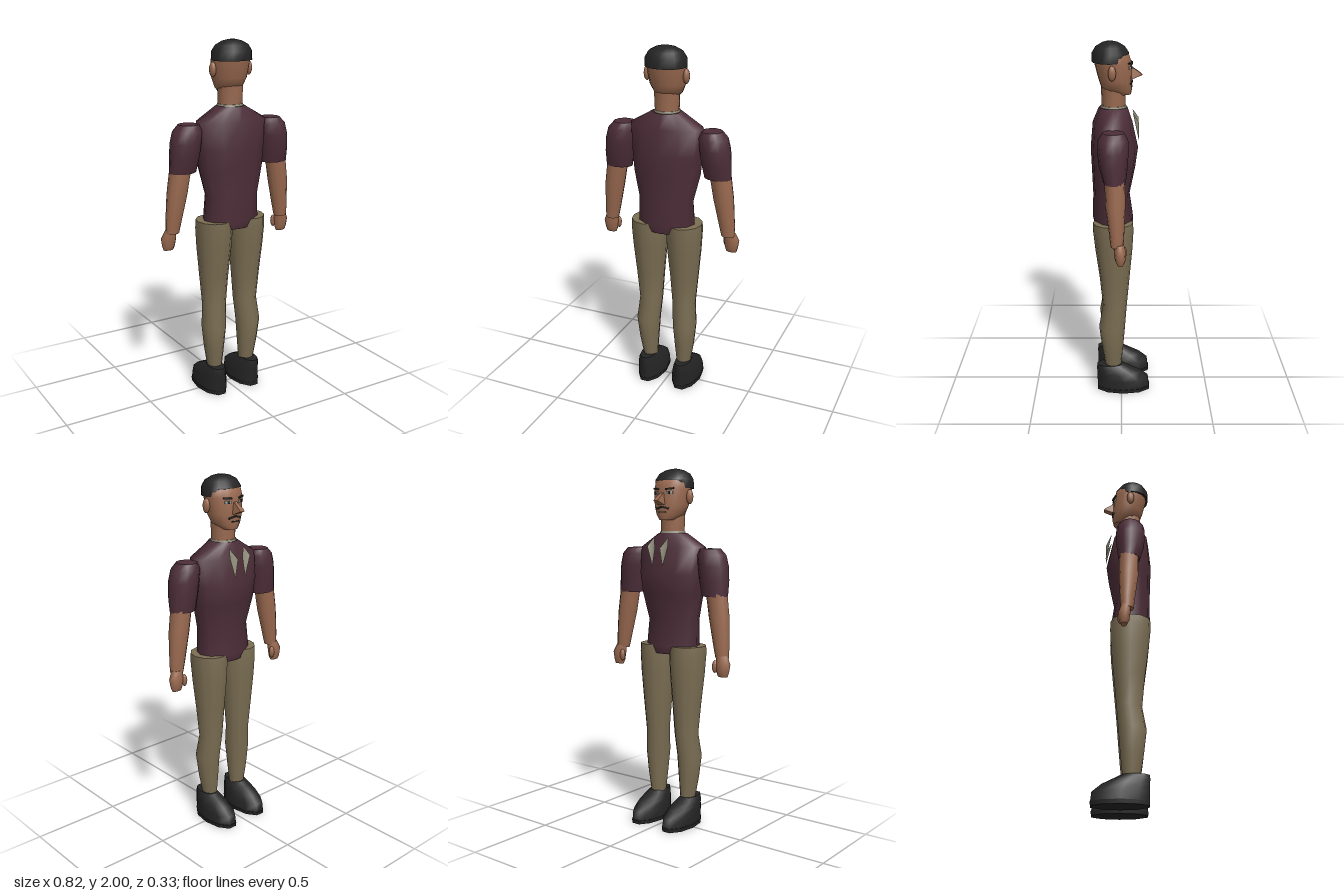
import * as THREE from 'three';
import { ConvexGeometry } from 'three/addons/geometries/ConvexGeometry.js';

const mat = (name, color, side = THREE.FrontSide) => {
  const m = new THREE.MeshStandardMaterial({ color, side });
  m.name = name;
  return m;
};

// Stacked oval rings, each [y, xMin, xMax, zMin, zMax], closed at both ends
function loft(rings, n = 12, turn = 0, adjust = null) {
  const pos = [], idx = [];
  const ring = ([y, x0, x1, z0, z1]) => {
    for (let j = 0; j < n; j++) {
      const a = ((j + turn) / n) * Math.PI * 2;
      const p = [(x0 + x1) / 2 + (x1 - x0) / 2 * Math.sin(a), y, (z0 + z1) / 2 + (z1 - z0) / 2 * Math.cos(a)];
      if (adjust) adjust(p);
      pos.push(...p);
    }
  };
  rings.forEach(ring);
  for (let i = 0; i < rings.length - 1; i++) {
    for (let j = 0; j < n; j++) {
      const a = i * n + j, b = i * n + (j + 1) % n;
      idx.push(a, b, b + n, a, b + n, a + n);
    }
  }
  // End caps use their own vertices so the rims stay crisp
  for (const [r, up] of [[rings[0], false], [rings[rings.length - 1], true]]) {
    const base = pos.length / 3;
    ring(r);
    for (let j = 1; j < n - 1; j++) {
      if (up) idx.push(base, base + j, base + j + 1);
      else idx.push(base, base + j + 1, base + j);
    }
  }
  const g = new THREE.BufferGeometry();
  g.setAttribute('position', new THREE.Float32BufferAttribute(pos, 3));
  g.setIndex(idx);
  g.computeVertexNormals();
  return g;
}

// Mirror ring x ranges to the other side of the body
const side = (rings, s) => rings.map(([y, a, b, c, d]) => (s > 0 ? [y, a, b, c, d] : [y, -b, -a, c, d]));

export function createModel() {
  const model = new THREE.Group();
  model.name = 'standingMan';
  const skin = mat('skin', 0x99694f);
  const shirt = mat('shirt', 0x4c2d38);
  const trousers = mat('trousers', 0x7b6e53);
  const black = mat('black', 0x242424);
  const collarCloth = mat('collarCloth', 0x8f8d79);
  const eyeWhite = mat('eyeWhite', 0xb0aca4);

  const add = (name, geo, material, parent = model) => {
    const m = new THREE.Mesh(geo, material);
    m.name = name;
    parent.add(m);
    return m;
  };

  // Torso and collar
  add('torso', loft([
    [0.985, -0.15, 0.15, -0.055, 0.15],
    [1.03, -0.165, 0.165, -0.065, 0.16],
    [1.17, -0.16, 0.16, -0.045, 0.157],
    [1.32, -0.195, 0.195, -0.075, 0.163],
    [1.43, -0.205, 0.205, -0.09, 0.168],
    [1.575, -0.213, 0.213, -0.058, 0.155],
    [1.652, -0.08, 0.08, -0.032, 0.122],
  ]), shirt);
  add('collar', loft([[1.64, -0.075, 0.075, -0.032, 0.118], [1.662, -0.069, 0.069, -0.026, 0.111]]), collarCloth);

  // Neck, head and hair
  add('neck', loft([[1.64, -0.066, 0.066, -0.02, 0.105], [1.76, -0.07, 0.07, -0.022, 0.11]]), skin);
  add('head', loft([
    [1.722, -0.042, 0.042, -0.05, 0.03],
    [1.75, -0.075, 0.075, -0.056, 0.105],
    [1.8, -0.098, 0.098, -0.056, 0.122],
    [1.89, -0.108, 0.108, -0.053, 0.145],
    [1.935, -0.105, 0.105, -0.038, 0.145],
    [1.97, -0.08, 0.08, 0, 0.12],
  ], 16), skin);
  add('hair', loft([
    [1.893, -0.113, 0.113, -0.036, 0.157],
    [1.94, -0.111, 0.111, -0.04, 0.157],
    [1.972, -0.092, 0.092, -0.018, 0.138],
    [1.992, -0.055, 0.055, 0.015, 0.105],
    [2.0, -0.02, 0.02, 0.045, 0.078],
  ], 16, 0, p => { if (p[1] < 1.9 && p[2] < 0.01) p[1] = 1.932; }), black);

  // Nose
  const nosePoints = [[0.01, 1.872, -0.045], [0.01, 1.862, -0.062], [0.02, 1.802, -0.045],
    [0.02, 1.806, -0.065], [0.014, 1.824, -0.11], [0.015, 1.835, -0.1]]
    .flatMap(([x, y, z]) => [new THREE.Vector3(x, y, z), new THREE.Vector3(-x, y, z)]);
  add('nose', new ConvexGeometry(nosePoints), skin);

  // Thin plates that follow the curve of the face
  const facePlate = (name, x, y, w, h, out, material, tilt = 0) => {
    const rx = 0.105, rz = 0.095, k = Math.sqrt(1 - (x / rx) ** 2);
    const m = add(name, new THREE.BoxGeometry(w, h, 0.008), material);
    m.position.set(x, y, 0.041 - rz * k - out);
    m.rotation.set(0, -Math.atan((rz * x) / (rx * rx * k)), tilt);
  };
  facePlate('mouth', 0, 1.765, 0.05, 0.006, 0, black);

  for (const s of [1, -1]) {
    // Eyes, brows and moustache
    facePlate('eye', s * 0.045, 1.868, 0.036, 0.014, 0.001, eyeWhite);
    facePlate('pupil', s * 0.043, 1.868, 0.013, 0.014, 0.003, black);
    facePlate('eyebrow', s * 0.046, 1.889, 0.048, 0.009, 0.002, black, s * 0.1);
    facePlate('moustache', s * 0.021, 1.788, 0.042, 0.01, 0.001, black, -s * 0.25);

    // Ear
    const ear = add('ear', new THREE.SphereGeometry(1, 10, 8), skin);
    ear.scale.set(0.018, 0.04, 0.022);
    ear.position.set(s * 0.111, 1.847, 0.05);

    // Pointed collar flap standing off the chest
    const tip = [s * 0.05, 1.63, -0.06], outer = [s * 0.072, 1.58, -0.093];
    const low = [s * 0.035, 1.47, -0.095], inner = [s * 0.016, 1.57, -0.094];
    const flap = new THREE.BufferGeometry();
    flap.setAttribute('position', new THREE.Float32BufferAttribute([...tip, ...outer, ...low, ...inner], 3));
    flap.setIndex(s > 0 ? [0, 1, 2, 0, 2, 3] : [0, 2, 1, 0, 3, 2]);
    flap.computeVertexNormals();
    add('collarFlap', flap, collarCloth);

    // Arm
    const arm = new THREE.Group();
    arm.name = s > 0 ? 'leftArm' : 'rightArm';
    model.add(arm);
    add('sleeve', loft(side([
      [1.315, 0.215, 0.368, -0.022, 0.095],
      [1.4, 0.2, 0.366, -0.032, 0.118],
      [1.475, 0.19, 0.36, -0.036, 0.125],
      [1.535, 0.185, 0.344, -0.034, 0.122],
      [1.57, 0.2, 0.312, -0.015, 0.1],
    ], s)), shirt, arm);
    add('forearm', loft(side([
      [0.985, 0.315, 0.39, -0.01, 0.058],
      [1.05, 0.3, 0.39, -0.014, 0.065],
      [1.2, 0.268, 0.382, -0.02, 0.085],
      [1.33, 0.245, 0.365, -0.018, 0.088],
    ], s)), skin, arm);
    add('hand', loft(side([
      [0.887, 0.34, 0.398, -0.01, 0.022],
      [0.91, 0.332, 0.405, -0.02, 0.034],
      [0.955, 0.325, 0.412, -0.024, 0.04],
      [1.0, 0.325, 0.39, -0.012, 0.042],
    ], s), 10), skin, arm);
    const thumb = add('thumb', new THREE.SphereGeometry(1, 8, 6), skin, arm);
    thumb.scale.set(0.016, 0.035, 0.016);
    thumb.position.set(s * 0.33, 0.942, -0.012);

    // Leg
    const leg = new THREE.Group();
    leg.name = s > 0 ? 'leftLeg' : 'rightLeg';
    model.add(leg);
    add('trouserLeg', loft(side([
      [0.15, 0.065, 0.148, 0.002, 0.093],
      [0.27, 0.055, 0.168, -0.01, 0.112],
      [0.4, 0.045, 0.182, -0.02, 0.128],
      [0.53, 0.035, 0.17, -0.03, 0.106],
      [0.7, 0.023, 0.185, -0.045, 0.122],
      [0.87, 0.008, 0.2, -0.06, 0.145],
      [0.98, 0.003, 0.206, -0.066, 0.157],
      [1.03, 0.005, 0.204, -0.063, 0.157],
    ], s)), trousers, leg);
    add('sole', loft(side([
      [0, 0.032, 0.188, -0.168, 0.146],
      [0.022, 0.028, 0.191, -0.171, 0.147],
    ], s), 10, 0.5), black, leg);
    add('shoe', loft(side([
      [0.02, 0.03, 0.188, -0.168, 0.146],
      [0.07, 0.033, 0.186, -0.162, 0.147],
      [0.11, 0.044, 0.178, -0.112, 0.147],
      [0.14, 0.056, 0.168, -0.05, 0.147],
      [0.16, 0.066, 0.157, -0.012, 0.143],
    ], s), 10, 0.5), black, leg);
  }
  return model;
}
